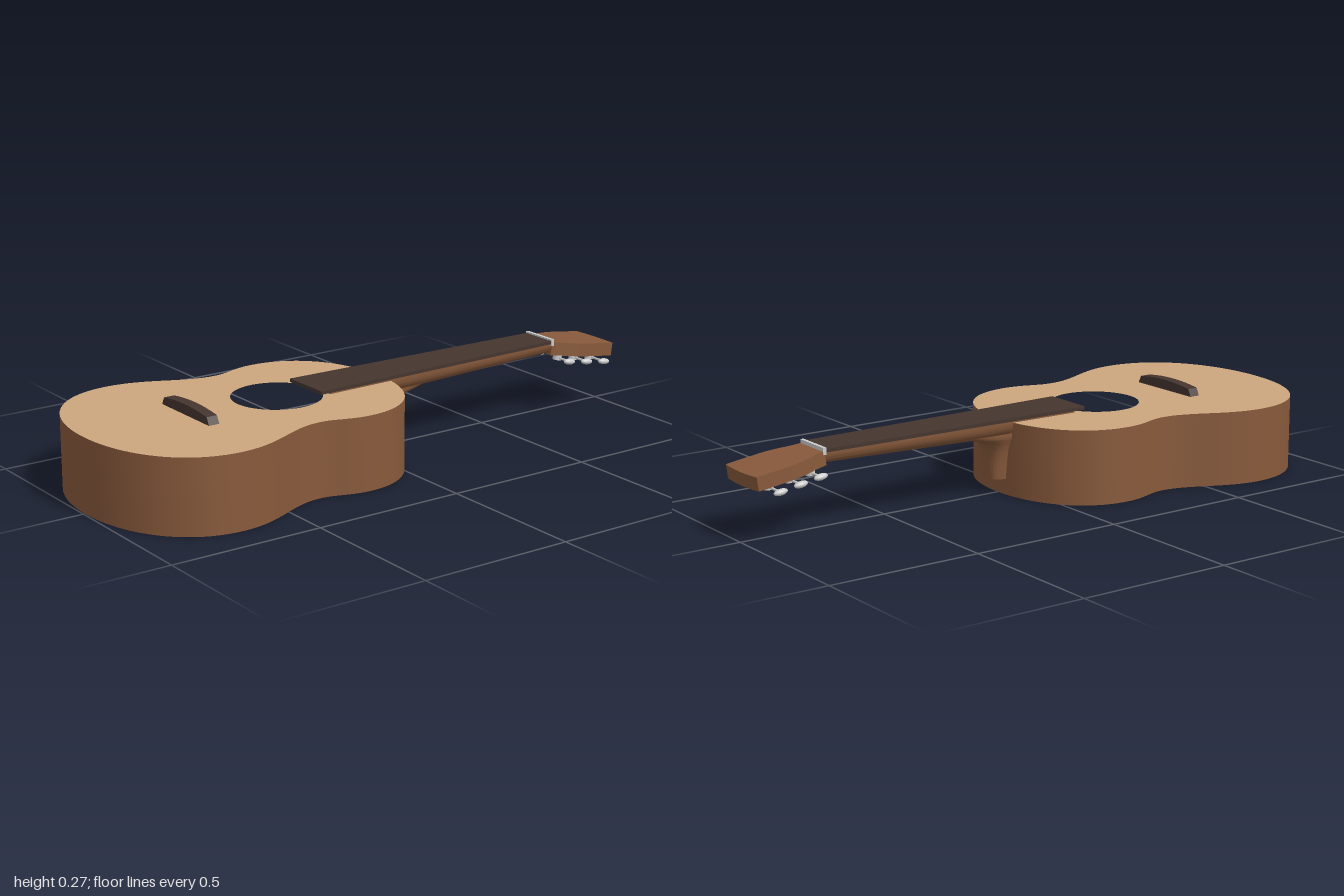
import * as THREE from 'three';
import { toCreasedNormals } from 'three/addons/utils/BufferGeometryUtils.js';

const mat = (color) => new THREE.MeshStandardMaterial({ color });
const wood = mat(0x87593b), spruce = mat(0xcba67c), ebony = mat(0x45352f), metal = mat(0xcccccc);
const V = (x, y) => new THREE.Vector2(x, y);

function add(parent, name, geometry, material) {
  const mesh = new THREE.Mesh(geometry, material);
  mesh.name = name;
  parent.add(mesh);
  return mesh;
}

// Horizontal plate: the shape's y becomes z, its upper face lies at `top`
function plate(shape, top, depth) {
  const geo = new THREE.ExtrudeGeometry(shape, { depth, bevelEnabled: false, curveSegments: 48 });
  geo.rotateX(Math.PI / 2).translate(0, top, 0);
  return toCreasedNormals(geo, 0.5);
}

// Waisted body outline, traced down one half and mirrored
function bodyOutline() {
  const half = new THREE.Path();
  half.moveTo(0, 0.995);
  half.bezierCurveTo(0.22, 0.995, 0.393, 0.88, 0.393, 0.69);
  half.bezierCurveTo(0.393, 0.55, 0.295, 0.47, 0.295, 0.36);
  half.bezierCurveTo(0.295, 0.3, 0.33, 0.27, 0.33, 0.19);
  half.bezierCurveTo(0.33, 0.03, 0.19, -0.073, 0, -0.073);
  const pts = half.getPoints(20);
  const mirrored = pts.slice(1, -1).reverse().map((p) => V(-p.x, p.y));
  return pts.concat(mirrored);
}

// Tapered strip running along the neck
function strip(z0, w0, z1, w1) {
  return new THREE.Shape([V(-w0, z0), V(w0, z0), V(w1, z1), V(-w1, z1)]);
}

// Skin over equal-length cross-sections, with the first one capped
function loft(sections) {
  const n = sections[0].length, index = [];
  for (let i = 0; i < sections.length - 1; i++) {
    for (let j = 0; j < n - 1; j++) {
      const a = i * n + j, b = a + n;
      index.push(a, a + 1, b, a + 1, b + 1, b);
    }
  }
  for (let j = 1; j < n - 1; j++) index.push(0, j + 1, j);
  const geo = new THREE.BufferGeometry().setFromPoints(sections.flat());
  geo.setIndex(index);
  geo.computeVertexNormals();
  return toCreasedNormals(geo, 0.7);
}

// Rounded half section: pairs of (across, depth)
function halfRound(w, d, power, make) {
  const pts = [];
  for (let j = 0; j <= 20; j++) {
    const a = (j / 20) * Math.PI, c = Math.cos(a);
    pts.push(make(w * Math.sign(c) * Math.abs(c) ** power, d * Math.max(0, Math.sin(a)) ** power));
  }
  return pts;
}

function buildBody(guitar) {
  const body = new THREE.Group();
  body.name = 'body';
  const outline = bodyOutline();

  const rim = new THREE.Shape(outline);
  rim.holes.push(new THREE.Path(outline.map((p) => V(p.x * 0.965, 0.465 + (p.y - 0.465) * 0.975))));
  add(body, 'sides', plate(rim, 0.228, 0.216), wood);
  add(body, 'back', plate(new THREE.Shape(outline), 0.012, 0.012), wood);

  const top = new THREE.Shape(outline);
  top.holes.push(new THREE.Path().absarc(0, 0.315, 0.143, 0, Math.PI * 2, true));
  add(body, 'soundboard', plate(top, 0.24, 0.012), [spruce, wood]);

  // Bridge with sloping ends and an arched top
  const arch = new THREE.Shape();
  arch.moveTo(-0.135, 0.238);
  arch.lineTo(0.135, 0.238);
  arch.lineTo(0.122, 0.264);
  arch.quadraticCurveTo(0, 0.282, -0.122, 0.264);
  const bridge = new THREE.ExtrudeGeometry(arch, { depth: 0.036, bevelEnabled: false });
  add(body, 'bridge', toCreasedNormals(bridge, 0.4), ebony).position.z = 0.608;
  guitar.add(body);
}

function buildNeck(guitar) {
  const neck = new THREE.Group();
  neck.name = 'neck';

  // Shaft: [z, half width, underside y]
  const shaft = [[-0.06, 0.077, 0.187], [-0.2, 0.074, 0.188], [-0.45, 0.068, 0.195], [-0.76, 0.062, 0.204]];
  add(neck, 'neckShaft', loft(shaft.map(([z, w, y]) =>
    halfRound(w, 0.246 - y, 0.8, (x, d) => new THREE.Vector3(x, 0.246 - d, z)))), wood);

  // Heel: [y, half width, depth behind the body]
  const heel = [[0.052, 0.042, 0.055], [0.1, 0.047, 0.057], [0.14, 0.053, 0.06], [0.16, 0.058, 0.068],
    [0.175, 0.063, 0.085], [0.185, 0.068, 0.115], [0.194, 0.07, 0.16], [0.205, 0.07, 0.2]];
  add(neck, 'heel', loft(heel.map(([y, w, depth]) =>
    halfRound(w, depth, 0.65, (x, d) => new THREE.Vector3(x, y, -0.06 - d)))), wood);

  add(neck, 'neckPlank', plate(strip(0.17, 0.082, -0.745, 0.061), 0.246, 0.008), wood);
  add(neck, 'fingerboard', plate(strip(0.207, 0.086, -0.74, 0.063), 0.256, 0.011), ebony);
  add(neck, 'nut', new THREE.BoxGeometry(0.132, 0.022, 0.011), metal).position.set(0, 0.25, -0.745);
  guitar.add(neck);
}

function buildHead(guitar) {
  const head = new THREE.Group();
  head.name = 'head';
  head.position.set(0, 0.25, -0.745);
  head.rotation.x = -0.14;

  // Flared headstock with a bowed end
  const shape = new THREE.Shape();
  shape.moveTo(-0.064, 0);
  shape.lineTo(0.064, 0);
  shape.bezierCurveTo(0.068, -0.05, 0.092, -0.08, 0.092, -0.14);
  shape.lineTo(0.092, -0.247);
  shape.quadraticCurveTo(0, -0.261, -0.092, -0.247);
  shape.lineTo(-0.092, -0.14);
  shape.bezierCurveTo(-0.092, -0.08, -0.068, -0.05, -0.064, 0);
  add(head, 'headstock', plate(shape, 0, 0.044), wood);

  // Three tuners a side: gear, shaft and oval button below the headstock
  const gear = new THREE.CylinderGeometry(0.015, 0.015, 0.02, 20);
  const button = new THREE.SphereGeometry(1, 20, 14).scale(0.012, 0.01, 0.023);
  for (const side of [1, -1]) {
    for (let i = 0; i < 3; i++) {
      const tuner = new THREE.Group();
      tuner.name = 'tuner';
      const reach = 0.107 + i * 0.006;
      tuner.position.set(0, -0.056, -0.048 - i * 0.072);
      add(tuner, 'tunerGear', gear, metal).position.set(side * 0.045, 0.003, 0);
      const shaft = new THREE.CylinderGeometry(0.004, 0.004, reach - 0.045, 10).rotateZ(Math.PI / 2);
      add(tuner, 'tunerShaft', shaft, metal).position.x = side * (reach + 0.045) / 2;
      add(tuner, 'tunerButton', button, metal).position.x = side * reach;
      head.add(tuner);
    }
  }
  guitar.add(head);
}

export function createModel() {
  const guitar = new THREE.Group();
  guitar.name = 'guitar';
  buildBody(guitar);
  buildNeck(guitar);
  buildHead(guitar);
  return guitar;
}
